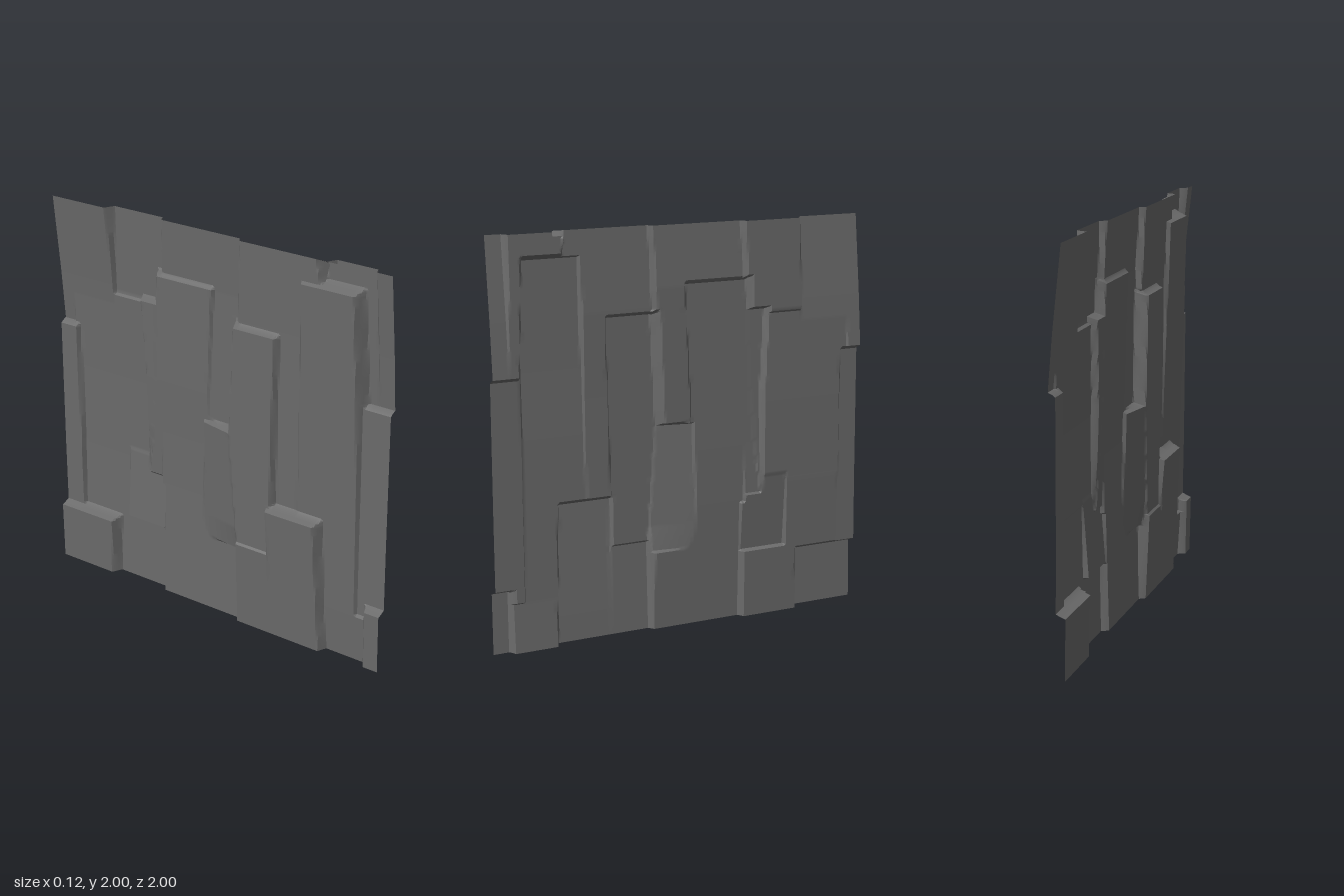
import * as THREE from 'three';
import { toCreasedNormals } from 'three/addons/utils/BufferGeometryUtils.js';

const STEPS = 200;   // grid cells per side
const BEVEL = 2.6;   // steepness of the bevel around each slab
const { lerp } = THREE.MathUtils;

// Each slab is a list of knots from top to bottom:
// [y, z of one edge, z of the other edge, depth x, (depth x at the other edge)]
const slabs = [];
const slab = (...knots) => slabs.push(knots);

// corner slab, wrapping over the border
slab([2.3, 1.34, 0.915, -0.02], [2, 1.335, 0.915, -0.014], [1.6, 1.34, 0.915, 0.03], [1.3, 1.34, 0.915, 0.056]);
// border slab
slab([1.325, 1.1, 0.84, 0.018], [0.64, 1.11, 0.84, 0.022], [0.2, 1.11, 0.84, 0.028], [0, 1.11, 0.9, 0.04]);
// short slab beside the corner
slab([2.24, 0.915, 0.64, 0.01], [2, 0.915, 0.64, 0.025], [1.33, 0.92, 0.64, 0.053]);
// tall slab
slab([1.87, 0.815, 0.53, -0.04], [1.35, 0.835, 0.52, -0.024], [1.02, 0.838, 0.515, -0.012],
  [0.24, 0.84, 0.5, 0.01], [0, 0.84, 0.5, 0.025]);
// low slab, its lower part reappearing at the top border
slab([0.68, 0.635, 0.36, -0.065], [0.13, 0.655, 0.365, -0.032], [0, 0.66, 0.365, -0.025]);
slab([0.445, 0.4, 0.17, -0.045], [0, 0.6, 0.165, -0.025], [-0.4, 0.66, 0.15, -0.01],
  [-0.8, 0.66, 0.3, -0.008], [-1.32, 0.66, 0.3, 0.002], [-1.6, 0.64, 0.3, 0.01]);
// middle tall slab
slab([1.57, 0.385, 0.145, -0.045], [1.02, 0.37, 0.12, -0.042], [0.45, 0.36, 0.165, -0.035], [0.4, 0.36, 0.165, -0.03]);
// tilted slab
slab([1.02, 0.14, -0.06, -0.042, 0], [0.52, 0.17, -0.075, -0.03, 0.016], [0.4, 0.17, -0.08, -0.01, 0.02]);
// plain slab between the tall ones
slab([2.6, 0.2, -0.32, 0.02], [2, 0.2, -0.325, 0.005], [1.7, 0.2, -0.335, 0.022],
  [1.2, 0.2, -0.34, 0.021], [0.6, 0.2, -0.34, 0.02]);
// stepped slab and its small shoulder
slab([1.715, -0.02, -0.355, 0.002], [1.16, -0.045, -0.38, 0.012], [0.9, -0.05, -0.4, 0.02], [0.64, -0.07, -0.43, 0.03]);
slab([1.56, -0.3, -0.46, 0.006], [1.16, -0.3, -0.435, 0.013], [0.9, -0.3, -0.435, 0.022], [0.64, -0.3, -0.44, 0.04]);
// right-hand slab
slab([1.545, -0.4, -0.92, 0.038], [1.1, -0.4, -0.92, 0.048], [0.7, -0.4, -0.92, 0.05]);
// small ledge that is cut off at its lower end
slab([0.72, -0.3, -0.57, 0.046], [0.35, -0.32, -0.57, 0.02]);

// Depth of one slab at (y, z), rising steeply outside its outline
function slabDepth(knots, y, z) {
  const last = knots.length - 1;
  const cy = THREE.MathUtils.clamp(y, knots[last][0], knots[0][0]);
  let i = 0;
  while (i < last - 1 && cy < knots[i + 1][0]) i++;
  const a = knots[i], b = knots[i + 1];
  const t = (a[0] - cy) / (a[0] - b[0]);
  const zMax = lerp(a[1], b[1], t), zMin = lerp(a[2], b[2], t);
  const x0 = lerp(a[3], b[3], t), x1 = lerp(a[4] ?? a[3], b[4] ?? b[3], t);
  const across = THREE.MathUtils.clamp((zMax - z) / (zMax - zMin), 0, 1);
  const outside = Math.max(0, z - zMax, zMin - z, Math.abs(y - cy));
  return lerp(x0, x1, across) + outside * BEVEL;
}

// The panel repeats every 2 units, so slabs also count from across the borders
function depth(y, z) {
  let x = y > 1.5 ? lerp(0.055, 0.04, (y - 1.5) / 0.5) : lerp(0.04, 0.055, Math.min(1, y));
  for (const knots of slabs)
    for (const dy of [-2, 0, 2])
      for (const dz of [-2, 0, 2]) x = Math.min(x, slabDepth(knots, y + dy, z + dz));
  return x;
}

export function createModel() {
  const group = new THREE.Group();
  group.name = 'slabPanel';
  const stone = new THREE.MeshStandardMaterial({ color: 0x6b6b6b, side: THREE.DoubleSide });
  stone.name = 'stone grey';

  // upright sheet facing +x, pressed into overlapping slabs
  const sheet = new THREE.PlaneGeometry(2, 2, STEPS, STEPS);
  sheet.rotateY(Math.PI / 2).translate(0, 1, 0);
  const p = sheet.attributes.position;
  for (let i = 0; i < p.count; i++) p.setX(i, depth(p.getY(i), p.getZ(i)));

  const panel = new THREE.Mesh(toCreasedNormals(sheet, 0.5), stone);
  panel.name = 'slabSurface';
  group.add(panel);
  return group;
}
